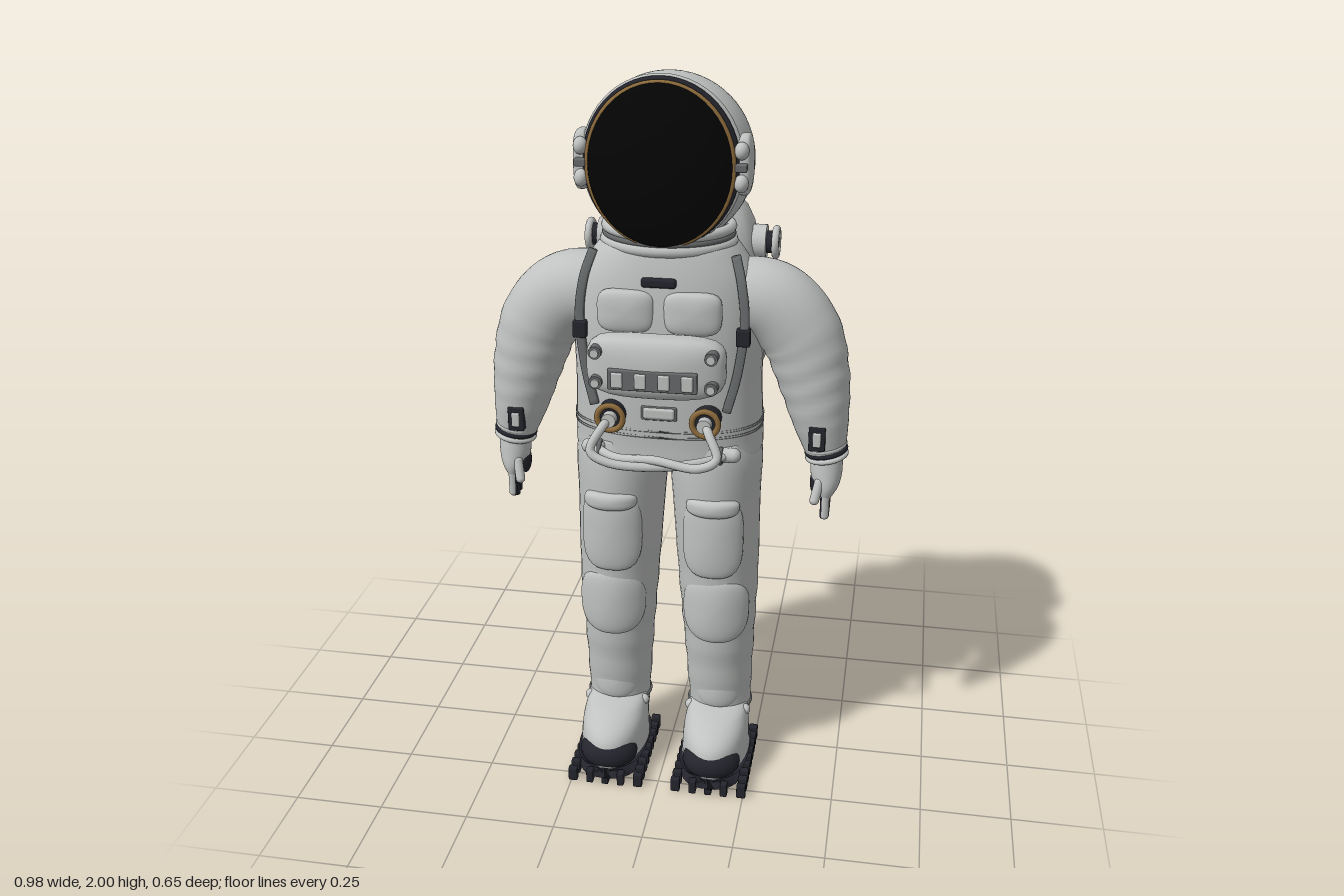
import * as THREE from 'three';
import { mergeVertices } from 'three/addons/utils/BufferGeometryUtils.js';
import { RoundedBoxGeometry } from 'three/addons/geometries/RoundedBoxGeometry.js';

const paint = (name, color) => Object.assign(new THREE.MeshStandardMaterial({ color }), { name });
const V = (x, y, z) => new THREE.Vector3(x, y, z);

// Lofted body through sections [x, y, z, radius in the xy plane, radius in z]; p = squareness
function loft(sections, { p = 2, steps = 8, sides = 40, ripple = null } = {}) {
  const path = new THREE.CatmullRomCurve3(sections.map(s => V(s[0], s[1], s[2])), false, 'catmullrom');
  const radii = new THREE.CatmullRomCurve3(sections.map(s => V(s[3], s[4], 0)), false, 'catmullrom');
  const rows = (sections.length - 1) * steps, pos = [], idx = [];
  const pow = v => Math.sign(v) * Math.abs(v) ** (2 / p);
  for (let i = 0; i <= rows; i++) {
    const t = i / rows, c = path.getPoint(t), r = radii.getPoint(t), d = path.getTangent(t);
    const len = Math.hypot(d.x, d.y) || 1, ux = -d.y / len, uy = d.x / len;
    for (let j = 0; j < sides; j++) {
      const a = j / sides * Math.PI * 2, k = ripple ? 1 + ripple(t, a) : 1;
      const u = r.x * k * pow(Math.cos(a));
      pos.push(c.x + u * ux, c.y + u * uy, c.z + r.y * k * pow(Math.sin(a)));
    }
  }
  const first = pos.length / 3;
  const a0 = path.getPoint(0), a1 = path.getPoint(1);
  pos.push(a0.x, a0.y, a0.z, a1.x, a1.y, a1.z);
  for (let j = 0; j < sides; j++) {
    const n = (j + 1) % sides;
    for (let i = 0; i < rows; i++) {
      const a = i * sides + j, b = i * sides + n;
      idx.push(a, b, a + sides, b, b + sides, a + sides);
    }
    idx.push(first, n, j, first + 1, rows * sides + j, rows * sides + n);
  }
  const g = new THREE.BufferGeometry();
  g.setAttribute('position', new THREE.Float32BufferAttribute(pos, 3));
  g.setIndex(idx);
  g.computeVertexNormals();
  return g;
}

// Puffy rounded-rectangle cushion facing z, bent backwards by bend * x^2
function cushion(w, h, d, bend = 0, p = 4) {
  let g = new THREE.SphereGeometry(1, 40, 24).rotateX(Math.PI / 2);
  g.deleteAttribute('normal');
  g.deleteAttribute('uv');
  g = mergeVertices(g, 1e-4);
  const q = g.attributes.position;
  for (let i = 0; i < q.count; i++) {
    const x = q.getX(i), y = q.getY(i), z = q.getZ(i), r = Math.hypot(x, y) || 1;
    const f = (Math.abs(x / r) ** p + Math.abs(y / r) ** p) ** (-1 / p);
    const X = x * f * w / 2;
    q.setXYZ(i, X, y * f * h / 2, Math.sign(z) * Math.abs(z) ** 0.55 * d / 2 - bend * X * X);
  }
  g.computeVertexNormals();
  return g;
}

const ball = (rx, ry, rz) => new THREE.SphereGeometry(1, 24, 16).scale(rx, ry, rz);
const rod = (r, len) => new THREE.CapsuleGeometry(r, len, 6, 14);
const disc = (r, d) => new THREE.CylinderGeometry(r, r, d, 28).rotateX(Math.PI / 2);
const ring = (r, tube, sy = 1) => new THREE.TorusGeometry(r, tube, 10, 56).scale(1, sy, 1);
const flatRing = (rx, rz, tube) => ring(rx, tube, rz / rx).rotateX(Math.PI / 2);
const block = (w, h, d, r = 0.004) => new RoundedBoxGeometry(w, h, d, 2, r);

export function createModel() {
  const suit = paint('suit grey', 0xbfc2c0), dark = paint('sole charcoal', 0x24252d);
  const black = paint('visor black', 0x040404), gold = paint('rim bronze', 0x8c6b3c);
  const grey = paint('strap grey', 0x66696a);
  const model = new THREE.Group();
  model.name = 'astronaut';
  const add = (name, geo, mat, x = 0, y = 0, z = 0) => {
    const m = new THREE.Mesh(geo, mat);
    m.name = name;
    m.position.set(x, y, z);
    model.add(m);
    return m;
  };

  // Helmet, visor and neck rings
  add('helmet', new THREE.SphereGeometry(0.218, 48, 32), suit, 0, 1.773, 0.055);
  add('visor', new THREE.SphereGeometry(1, 48, 16, 0, Math.PI * 2, 0, Math.PI / 2)
    .rotateX(Math.PI / 2).scale(0.182, 0.204, 0.122), black, 0, 1.783, 0.178);
  add('visorRim', ring(0.182, 0.007, 1.1), gold, 0, 1.783, 0.19);
  add('visorSeal', ring(0.189, 0.008, 1.08), dark, 0, 1.785, 0.174);
  add('helmetRim', ring(0.194, 0.01, 1.06), suit, 0, 1.785, 0.159);
  add('neckRing', flatRing(0.162, 0.135, 0.014), suit, 0, 1.605, 0.06);
  add('neckSeal', flatRing(0.166, 0.138, 0.008), grey, 0, 1.587, 0.06);
  add('collar', flatRing(0.165, 0.135, 0.015), suit, 0, 1.568, 0.06);

  // Torso with waist seams
  add('torso', loft([
    [0, 1.6, 0.06, 0.14, 0.12], [0, 1.55, 0.06, 0.19, 0.138], [0, 1.47, 0.06, 0.235, 0.152],
    [0, 1.35, 0.06, 0.252, 0.16], [0, 1.2, 0.058, 0.25, 0.16], [0, 1.05, 0.05, 0.255, 0.16],
    [0, 0.99, 0.05, 0.25, 0.155], [0, 0.965, 0.05, 0.19, 0.12]], { p: 2.4, sides: 56 }), suit);
  for (const y of [1.07, 1.087])
    add('waistSeam', loft([[0, y + 0.003, 0.051, 0.257, 0.162], [0, y - 0.003, 0.051, 0.257, 0.162]],
      { p: 2.4, sides: 56, steps: 1 }), grey);

  // Chest control unit
  add('chestUnit', cushion(0.36, 0.165, 0.1, 0.5), suit, 0, 1.288, 0.262);
  add('chestPanel', block(0.23, 0.055, 0.014), grey, 0, 1.265, 0.308);
  for (let i = 0; i < 4; i++)
    add('chestSwitch', block(0.03, 0.04, 0.022), suit, -0.09 + i * 0.06, 1.265, 0.31);
  add('chestSlot', block(0.09, 0.025, 0.02, 0.008), dark, 0, 1.492, 0.21);
  add('beltPlate', block(0.085, 0.032, 0.02, 0.008), suit, 0, 1.14, 0.214);
  add('beltPlateFrame', block(0.096, 0.042, 0.014, 0.006), grey, 0, 1.14, 0.211);

  // Life-support pack
  add('backpack', cushion(0.42, 0.58, 0.235, 0, 3.6), suit, 0, 1.365, -0.165);
  add('packPanel', cushion(0.37, 0.5, 0.09, 0, 3.6), suit, 0, 1.37, -0.246);
  for (let i = 0; i < 4; i++)
    add('packSlat', block(0.265, 0.013, 0.014), dark, 0, 1.447 + i * 0.026, -0.311);

  for (const s of [1, -1]) {
    // Helmet ear pieces
    add('earPiece', cushion(0.08, 0.15, 0.044).rotateY(Math.PI / 2), suit, s * 0.204, 1.785, 0.14);
    for (const y of [1.825, 1.745]) add('earKnob', ball(0.018, 0.022, 0.02), suit, s * 0.2, y, 0.182);
    add('earPin', block(0.03, 0.02, 0.03), grey, s * 0.2, 1.785, 0.183);

    // Arm, wrist rings and wrist gauge
    add('arm', loft([
      [s * 0.14, 1.42, 0.055, 0.1, 0.105], [s * 0.265, 1.41, 0.055, 0.11, 0.103],
      [s * 0.345, 1.335, 0.057, 0.108, 0.099], [s * 0.385, 1.22, 0.06, 0.097, 0.093],
      [s * 0.41, 1.1, 0.065, 0.077, 0.08], [s * 0.43, 1, 0.07, 0.053, 0.056]], {
      ripple: (t, a) => 0.018 * Math.sin(t * 62 + Math.sin(a * 2)) * Math.sin(Math.PI * Math.min(1, Math.max(0, t * 1.8 - 0.6)))
    }), suit);
    [[0.427, 1.022, suit], [0.43, 1.008, dark], [0.432, 0.993, suit]].forEach(([x, y, m]) => {
      add('wristRing', flatRing(0.052, 0.055, 0.007), m, s * x, y, 0.07).rotation.z = s * 0.18;
    });
    add('gaugeFrame', block(0.044, 0.068, 0.024), dark, s * 0.408, 1.066, 0.137);
    add('gaugeFace', block(0.022, 0.04, 0.02), suit, s * 0.408, 1.066, 0.145);

    // Glove
    add('palm', loft([
      [s * 0.432, 1.005, 0.07, 0.042, 0.045], [s * 0.433, 0.95, 0.075, 0.043, 0.048],
      [s * 0.435, 0.91, 0.077, 0.034, 0.05], [s * 0.435, 0.875, 0.077, 0.014, 0.042]]), suit);
    add('palmGrip', ball(0.014, 0.035, 0.032), dark, s * 0.404, 0.915, 0.077);
    for (let i = 0; i < 4; i++) {
      const z = 0.042 + i * 0.023, len = [0.045, 0.062, 0.066, 0.056][i];
      add('finger', rod(0.0115, len), suit, s * 0.435, 0.886 - len / 2, z);
      add('fingerGrip', rod(0.009, len), dark, s * 0.431, 0.884 - len / 2, z);
    }
    add('thumb', rod(0.013, 0.05), suit, s * 0.412, 0.905, 0.122).rotation.set(-0.35, 0, s * -0.2);

    // Leg with pads
    add('leg', loft([
      [s * 0.128, 1.04, 0.05, 0.115, 0.145], [s * 0.13, 0.97, 0.05, 0.127, 0.155],
      [s * 0.133, 0.85, 0.056, 0.121, 0.148], [s * 0.142, 0.6, 0.062, 0.112, 0.124],
      [s * 0.146, 0.4, 0.058, 0.1, 0.104], [s * 0.15, 0.2, 0.05, 0.09, 0.084],
      [s * 0.15, 0.13, 0.05, 0.086, 0.08]], {
      ripple: (t, a) => 0.016 * Math.sin(t * 75 + 1.5 * Math.sin(a)) * Math.sin(Math.PI * Math.max(0, t * 1.6 - 0.6))
    }), suit);
    add('thighPad', cushion(0.165, 0.235, 0.045, 3.5, 3.5), suit, s * 0.14, 0.77, 0.19);
    add('thighFlap', cushion(0.145, 0.05, 0.05, 3.5, 3), suit, s * 0.14, 0.868, 0.2);
    add('kneePad', cushion(0.185, 0.2, 0.055, 4, 2.8), suit, s * 0.147, 0.538, 0.17);
    add('shinPad', cushion(0.13, 0.1, 0.04, 5, 2.5), suit, s * 0.15, 0.24, 0.122);
    add('ankleSeam', flatRing(0.089, 0.083, 0.006), grey, s * 0.15, 0.178, 0.05);
    for (const d of [-1, 1]) add('ankleStud', ball(0.016, 0.016, 0.016), suit, s * 0.15 + d * 0.08, 0.175, 0.1);

    // Boot, sole and cleats
    add('boot', loft([
      [s * 0.15, 0.2, 0.05, 0.08, 0.075], [s * 0.15, 0.175, 0.088, 0.087, 0.122],
      [s * 0.15, 0.13, 0.12, 0.094, 0.152], [s * 0.15, 0.05, 0.127, 0.098, 0.158]]), suit);
    add('toeCap', ball(0.083, 0.055, 0.07), dark, s * 0.15, 0.08, 0.222);
    add('sole', loft([[s * 0.15, 0.062, 0.133, 0.101, 0.164], [s * 0.15, 0.026, 0.133, 0.101, 0.164]],
      { p: 2.5, steps: 1 }), dark);
    add('soleInset', new THREE.CylinderGeometry(1, 1, 0.006, 32).scale(0.05, 1, 0.085), suit, s * 0.15, 0.024, 0.12);
    for (let i = 0; i < 9; i++) for (const d of [-1, 1])
      add('cleat', block(0.026, 0.042, 0.02), dark, s * 0.15 + d * 0.095, 0.021, -0.012 + i * 0.0365);
    for (const d of [-1, 0, 1]) {
      add('toeCleat', block(0.02, 0.042, 0.024), dark, s * 0.15 + d * 0.045, 0.021, 0.28);
      add('heelCleat', block(0.02, 0.042, 0.024), dark, s * 0.15 + d * 0.045, 0.021, -0.015);
    }

    // Chest pockets, straps and dials
    add('chestPocket', cushion(0.15, 0.112, 0.05, 1.5), suit, s * 0.086, 1.415, 0.212);
    add('shoulderStrap', loft([
      [s * 0.185, 1.55, 0.135, 0.012, 0.009], [s * 0.205, 1.48, 0.165, 0.012, 0.009],
      [s * 0.215, 1.38, 0.176, 0.012, 0.009], [s * 0.2, 1.25, 0.186, 0.012, 0.009],
      [s * 0.175, 1.15, 0.198, 0.012, 0.009]], { p: 4, sides: 16 }), grey);
    add('strapBuckle', block(0.036, 0.045, 0.028), dark, s * 0.213, 1.35, 0.18);
    for (const y of [1.33, 1.25]) {
      add('chestDial', disc(0.017, 0.03), grey, s * 0.148, y, 0.29);
      add('chestDialCap', disc(0.011, 0.01), suit, s * 0.148, y, 0.307);
    }

    // Hose port and crossing hose
    add('hosePort', disc(0.037, 0.05), dark, s * 0.125, 1.13, 0.215);
    add('hosePortRim', ring(0.034, 0.008), gold, s * 0.125, 1.13, 0.242);
    add('hosePlug', disc(0.019, 0.05), suit, s * 0.125, 1.13, 0.24);
    const hose = new THREE.CatmullRomCurve3([V(s * 0.125, 1.13, 0.24), V(s * 0.14, 1.115, 0.275),
      V(s * 0.165, 1.06, 0.305), V(s * 0.12, 1.035, 0.312), V(0, 1.032 + s * 0.01, 0.295),
      V(s * -0.11, 1.022, 0.25), V(s * -0.185, 1.025, 0.19)]);
    add('hose', new THREE.TubeGeometry(hose, 60, 0.012, 12), suit);
    add('hoseFitting', rod(0.02, 0.025), suit, s * 0.182, 1.025, 0.192).rotation.z = Math.PI / 2;
    add('hoseFittingRing', flatRing(0.019, 0.019, 0.006), grey, s * 0.162, 1.025, 0.202).rotation.z = Math.PI / 2;

    // Pack bottles, side valves and vents
    add('packBottle', rod(0.053, 0.185), suit, s * 0.172, 1.245, -0.272);
    add('valveBase', disc(0.047, 0.04).rotateY(Math.PI / 2), suit, s * 0.212, 1.51, -0.155);
    add('valveCore', disc(0.03, 0.05).rotateY(Math.PI / 2), dark, s * 0.235, 1.51, -0.155);
    add('valveRim', ring(0.036, 0.01).rotateY(Math.PI / 2), suit, s * 0.257, 1.51, -0.155);
    add('valveCap', disc(0.014, 0.016).rotateY(Math.PI / 2), grey, s * 0.257, 1.51, -0.155);
    for (let i = 0; i < 4; i++)
      add('sideVent', block(0.022, 0.016, 0.084), dark, s * 0.25, 1.268 + i * 0.032, -0.163);
  }
  return model;
}
